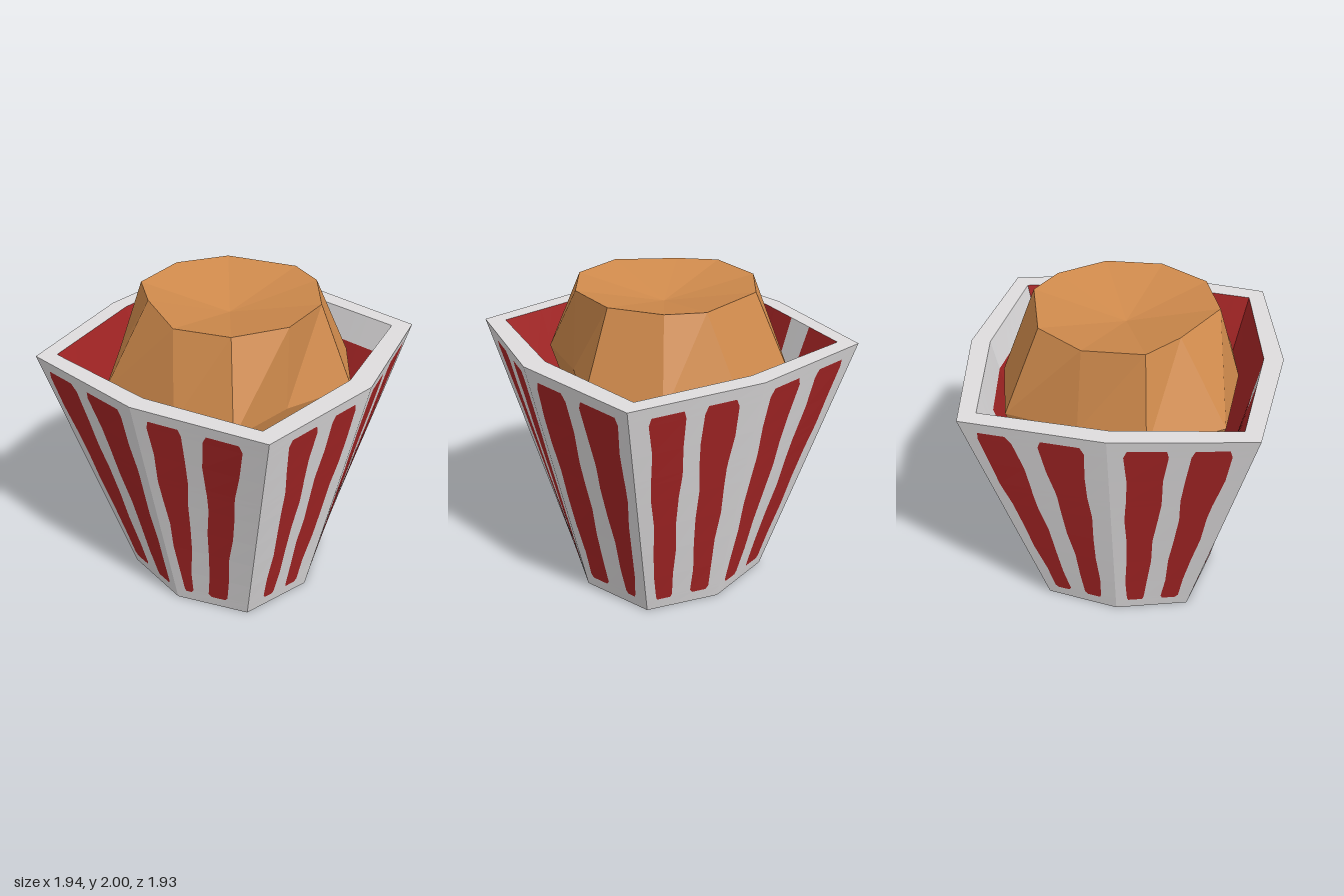
import * as THREE from 'three';

const white = new THREE.MeshStandardMaterial({ name: 'card white', color: 0xdedcdd, flatShading: true });
const red = new THREE.MeshStandardMaterial({ name: 'stripe red', color: 0xa62525, flatShading: true });
const golden = new THREE.MeshStandardMaterial({ name: 'golden brown', color: 0xcf8a4c, flatShading: true });

const HEIGHT = 1.68, FLOOR = 0.1;

// Octagonal rings as [x, z], front corner first, then round by the +x side
const outerTop = [[-0.03, 0.96], [0.81, 0.83], [0.97, 0], [0.81, -0.85], [-0.03, -0.97], [-0.87, -0.85], [-0.97, 0], [-0.87, 0.83]];
const outerBase = [[-0.03, 0.6], [0.44, 0.465], [0.6, 0], [0.44, -0.47], [-0.03, -0.6], [-0.5, -0.47], [-0.6, 0], [-0.5, 0.465]];
const innerTop = [[-0.03, 0.84], [0.71, 0.74], [0.83, 0], [0.71, -0.76], [-0.03, -0.85], [-0.78, -0.76], [-0.86, 0], [-0.78, 0.74]];
const innerBase = outerBase.map(([x, z]) => [x * 0.84, z * 0.84]);

const at = (ring, y) => ring.map(([x, z]) => [x, y, z]);

// Collects loose triangles for one mesh
class Faces {
  constructor() { this.positions = []; }
  tri(a, b, c) { this.positions.push(...a, ...b, ...c); }
  quad(a, b, c, d) { this.tri(a, b, c); this.tri(a, c, d); }
  band(lower, upper) {
    lower.forEach((p, i) => {
      const j = (i + 1) % lower.length;
      this.quad(p, lower[j], upper[j], upper[i]);
    });
  }
  fan(center, ring) {
    ring.forEach((p, i) => this.tri(center, p, ring[(i + 1) % ring.length]));
  }
  mesh(name, material) {
    const g = new THREE.BufferGeometry();
    g.setAttribute('position', new THREE.Float32BufferAttribute(this.positions, 3));
    g.computeVertexNormals();
    const m = new THREE.Mesh(g, material);
    m.name = name;
    return m;
  }
}

// Point on side i of a wall: u runs along the side, v runs up
function wallPoint(base, top, y0, y1, i, u, v) {
  const j = (i + 1) % 8, mix = THREE.MathUtils.lerp;
  const on = (k) => mix(mix(base[i][k], base[j][k], u), mix(top[i][k], top[j][k], u), v);
  return [on(0), mix(y0, y1, v), on(1)];
}

// Edges of the two stripes on each side: [bottom, middle, top]
const stripes = [
  [[0.12, 0.245, 0.47, 0.71], [0.11, 0.35, 0.53, 0.77], [0.10, 0.38, 0.52, 0.82]],
  [[0.25, 0.42, 0.60, 0.79], [0.28, 0.47, 0.61, 0.86], [0.21, 0.48, 0.64, 0.90]],
  [[0.12, 0.39, 0.69, 0.84], [0.09, 0.40, 0.60, 0.89], [0.08, 0.39, 0.53, 0.89]],
  [[0.12, 0.35, 0.60, 0.83], [0.14, 0.38, 0.57, 0.82], [0.15, 0.43, 0.55, 0.83]],
  [[0.12, 0.36, 0.57, 0.85], [0.11, 0.40, 0.60, 0.86], [0.10, 0.40, 0.59, 0.89]],
  [[0.15, 0.36, 0.58, 0.80], [0.11, 0.36, 0.56, 0.82], [0.08, 0.34, 0.52, 0.83]],
  [[0.14, 0.38, 0.60, 0.82], [0.13, 0.40, 0.59, 0.84], [0.12, 0.42, 0.56, 0.86]],
  [[0.12, 0.39, 0.61, 0.88], [0.11, 0.41, 0.59, 0.88], [0.07, 0.37, 0.51, 0.87]],
];
const rows = [0, 0.05, 0.065, 0.18, 0.32, 0.45, 0.58, 0.66, 0.69, 0.8, 0.925, 0.955, 1];

// Stripe edges at height v, slightly wavy, with rounded ends
function stripeEdges(i, v) {
  const t = THREE.MathUtils.clamp((v - 0.05) / 0.905, 0, 1) * 2;
  const k = Math.min(1, Math.floor(t));
  const e = stripes[i][k].map((a, n) => {
    const wave = t > 0 && t < 2 ? 0.012 * Math.sin(i * 2.3 + n * 1.9 + v * 17) : 0;
    return THREE.MathUtils.lerp(a, stripes[i][k + 1][n], t - k) + wave;
  });
  if (v <= 0.05 || v >= 0.955) [0.025, -0.025, 0.025, -0.025].forEach((d, n) => { e[n] += d; });
  return [0, ...e, 1];
}

// Unpainted patches inside: [side, u from, u to, v from, v to] in eighths
const patches = [
  [3, 0, 8, 7, 8], [4, 0, 5, 7, 8], [4, 5, 8, 6, 8], [5, 3, 5, 3, 8],
  [2, 0, 2, 6, 7], [2, 1, 3, 7, 8], [1, 7, 8, 6, 7],
  [7, 1, 3, 4, 6], [7, 0, 2, 6, 7], [7, 5, 7, 7, 8],
];

function makeBucket() {
  const card = new Faces(), paint = new Faces(), lining = new Faces(), bare = new Faces();
  for (let i = 0; i < 8; i++) {
    // Outer side, split into card and painted stripes
    for (let r = 0; r < rows.length - 1; r++) {
      const lo = stripeEdges(i, rows[r]), hi = stripeEdges(i, rows[r + 1]);
      const p = (u, v) => wallPoint(outerBase, outerTop, 0, HEIGHT, i, u, v);
      for (let c = 0; c < 5; c++) {
        const painted = c % 2 === 1 && r > 0 && r < rows.length - 2;
        (painted ? paint : card).quad(
          p(lo[c], rows[r]), p(lo[c + 1], rows[r]), p(hi[c + 1], rows[r + 1]), p(hi[c], rows[r + 1]));
      }
    }
    // Inner side, facing the middle
    const q = (u, v) => wallPoint(innerBase, innerTop, FLOOR, HEIGHT, i, u / 8, v / 8);
    for (let u = 0; u < 8; u++) for (let v = 0; v < 8; v++) {
      const isBare = patches.some(([s, a, b, c, d]) => s === i && u >= a && u < b && v >= c && v < d);
      (isBare ? bare : lining).quad(q(u + 1, v), q(u, v), q(u, v + 1), q(u + 1, v + 1));
    }
  }
  const rim = new Faces();
  rim.band(at(outerTop, HEIGHT), at(innerTop, HEIGHT));
  const base = new Faces();
  base.fan([-0.03, 0, 0], at(outerBase, 0).reverse());
  lining.fan([-0.03, FLOOR, 0], at(innerBase, FLOOR));

  const bucket = new THREE.Group();
  bucket.name = 'bucket';
  bucket.add(
    card.mesh('bucketWall', white), paint.mesh('stripes', red), rim.mesh('rim', white),
    lining.mesh('lining', red), bare.mesh('liningPatches', white), base.mesh('base', red));
  return bucket;
}

// Faceted golden filling with a dished top
function makeFilling() {
  const crown = [[-0.36, -0.47], [0.09, -0.58], [0.31, -0.47], [0.51, -0.19], [0.51, 0.17],
    [0.31, 0.46], [-0.02, 0.56], [-0.37, 0.35], [-0.57, 0.17], [-0.57, -0.19]].reverse();
  const belly = [[-0.5, -0.67], [-0.02, -0.78], [0.45, -0.66], [0.72, -0.24], [0.53, 0.2],
    [0.45, 0.64], [0.07, 0.7], [-0.5, 0.64], [-0.76, 0.2], [-0.62, -0.22]].reverse();
  const foot = belly.map(([x, z]) => [x * 0.5, z * 0.5]);
  const f = new Faces();
  f.band(at(foot, 0.4), at(belly, 1.48));
  f.band(at(belly, 1.48), at(crown, 2));
  f.fan([-0.02, 1.88, 0], at(crown, 2));
  f.fan([0, 0.4, 0], at(foot, 0.4).reverse());
  return f.mesh('filling', golden);
}

export function createModel() {
  const model = new THREE.Group();
  model.name = 'stripedSnackBucket';
  model.add(makeBucket(), makeFilling());
  return model;
}
